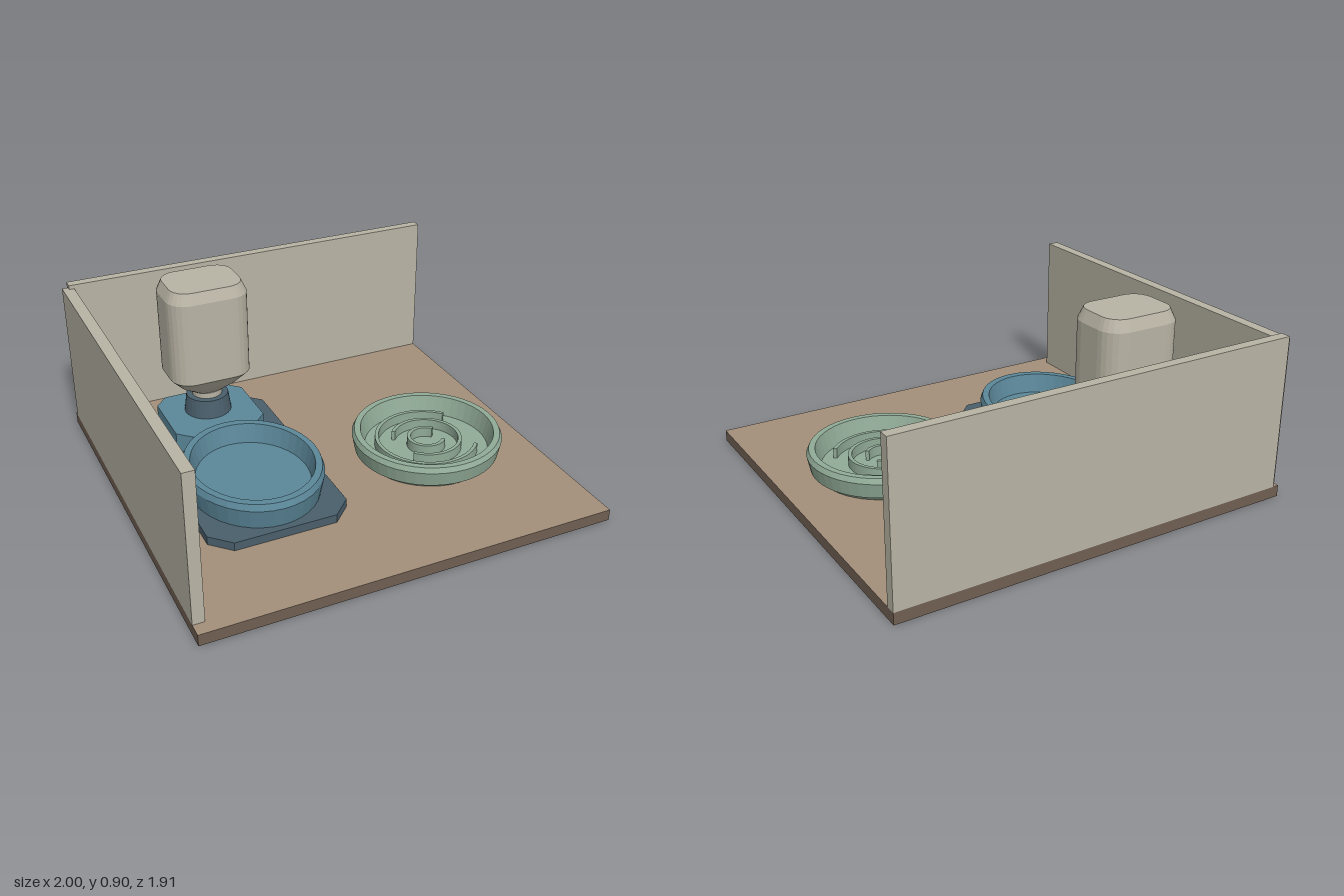
import * as THREE from 'three';

const mat = (name, color) => {
  const m = new THREE.MeshStandardMaterial({ color });
  m.name = name;
  return m;
};

export function createModel() {
  const group = new THREE.Group();
  const stone = mat('warm grey', 0xb8b3a4);
  const tan = mat('tan floor', 0xa38f7a);
  const brown = mat('dark brown', 0x705f52);
  const blue = mat('blue', 0x5b8799);
  const navy = mat('slate blue', 0x4a5f6c);
  const green = mat('sage green', 0x91ab97);

  const add = (name, geometry, material, x = 0, y = 0, z = 0) => {
    const mesh = new THREE.Mesh(geometry, material);
    mesh.name = name;
    mesh.position.set(x, y, z);
    group.add(mesh);
    return mesh;
  };
  const box = (name, material, x0, x1, y0, y1, z0, z1) =>
    add(name, new THREE.BoxGeometry(x1 - x0, y1 - y0, z1 - z0), material,
      (x0 + x1) / 2, (y0 + y1) / 2, (z0 + z1) / 2);

  // Upright prism from a plan outline
  const prism = (shape, height, curveSegments = 24) =>
    new THREE.ExtrudeGeometry(shape, { depth: height, bevelEnabled: false, curveSegments }).rotateX(-Math.PI / 2);

  // Rectangle with cut corners
  const cutRect = (w, d, c) => {
    const x = w / 2, z = d / 2;
    return new THREE.Shape([
      [-x + c, -z], [x - c, -z], [x, -z + c], [x, z - c],
      [x - c, z], [-x + c, z], [-x, z - c], [-x, -z + c],
    ].map(([a, b]) => new THREE.Vector2(a, b)));
  };

  // Turned form with crisp profile edges and a smooth circumference
  const turned = (points, segments = 40) => {
    const profile = [];
    points.forEach(([r, y], i) => {
      profile.push(new THREE.Vector2(r, y));
      if (i > 0 && i < points.length - 1) profile.push(new THREE.Vector2(r, y));
    });
    const g = new THREE.LatheGeometry(profile, segments).toNonIndexed();
    g.computeVertexNormals();
    return g;
  };
  const faceted = (m) => {
    const f = m.clone();
    f.flatShading = true;
    return f;
  };
  const stoneFlat = faceted(stone), blueFlat = faceted(blue);
  const navyFlat = faceted(navy), greenFlat = faceted(green);

  // Floor slab and two walls
  box('floor', [brown, brown, tan, brown, brown, brown], -1, 1, 0, 0.056, -0.955, 0.955);
  box('backWall', stone, -0.97, 1, 0.056, 0.8, -0.955, -0.905);
  box('sideWall', stone, -1, -0.945, 0.056, 0.78, -0.93, 0.89);

  // Feeder tray and bottle stand
  add('tray', prism(cutRect(0.68, 1.2, 0.093), 0.042), navy, -0.425, 0.056, -0.09);
  add('bottleStand', prism(cutRect(0.46, 0.43, 0.065), 0.094), blue, -0.425, 0.098, -0.463);

  // Oval water bowl
  const bowl = add('waterBowl', turned([
    [0, 0.098], [0.308, 0.098], [0.327, 0.2], [0.316, 0.23],
    [0.285, 0.23], [0.266, 0.135], [0, 0.135],
  ]), blueFlat, -0.425, 0, 0.117);
  bowl.scale.z = 1.17;

  // Bottle socket and neck
  const bx = -0.425, bz = -0.49;
  add('bottleSocket', turned([
    [0.118, 0.19], [0.105, 0.285], [0, 0.285],
  ], 28), navyFlat, bx, 0, bz);
  add('bottleNeck', new THREE.CylinderGeometry(0.075, 0.075, 0.04, 24), stone, bx, 0.295, bz);

  // Bottle lofted through rounded rectangles: height, half width, half depth, corner radius
  const rings = [
    [0.305, 0.065, 0.06, 0.058], [0.36, 0.145, 0.11, 0.08], [0.425, 0.202, 0.162, 0.1],
    [0.845, 0.202, 0.162, 0.1], [0.9, 0.178, 0.14, 0.085],
  ];
  const perCorner = 6;
  const count = 4 * (perCorner + 1);
  const verts = [], index = [];
  const ringPoints = ([y, w, d, r]) => {
    for (let q = 0; q < 4; q++) {
      const sx = q === 0 || q === 3 ? 1 : -1, sz = q < 2 ? 1 : -1;
      for (let i = 0; i <= perCorner; i++) {
        const a = (q + i / perCorner) * Math.PI / 2;
        verts.push(sx * (w - r) + r * Math.cos(a), y, sz * (d - r) + r * Math.sin(a));
      }
    }
  };
  rings.forEach(ringPoints);
  for (let k = 0; k < rings.length - 1; k++) {
    for (let i = 0; i < count; i++) {
      const a = k * count + i, b = k * count + (i + 1) % count;
      index.push(a, a + count, b, b, a + count, b + count);
    }
  }
  const top = (rings.length - 1) * count;
  for (let i = 1; i < count - 1; i++) {
    index.push(0, i, i + 1, top, top + i + 1, top + i);
  }
  const bottle = new THREE.BufferGeometry();
  bottle.setAttribute('position', new THREE.Float32BufferAttribute(verts, 3));
  bottle.setIndex(index);
  bottle.computeVertexNormals();
  add('bottle', bottle, stoneFlat, bx, 0, bz);

  // Round slow-feeding bowl with a narrow foot
  const gx = 0.485, gz = 0.15;
  add('foodBowl', turned([
    [0, 0.057], [0.32, 0.057], [0.34, 0.08], [0.355, 0.085], [0.37, 0.16], [0.358, 0.185],
    [0.328, 0.185], [0.305, 0.09], [0, 0.09],
  ], 48), greenFlat, gx, 0, gz);

  // Maze ridges: open rings with gaps on alternating sides
  const gap = 0.7;
  [[0.255, 0], [0.175, Math.PI], [0.095, 0]].forEach(([r, turn]) => {
    const s = new THREE.Shape();
    s.absarc(0, 0, r, turn + gap, turn + Math.PI * 2 - gap, false);
    s.absarc(0, 0, r - 0.018, turn + Math.PI * 2 - gap, turn + gap, true);
    add('mazeRidge', prism(s, 0.05), green, gx, 0.09, gz);
  });

  return group;
}
